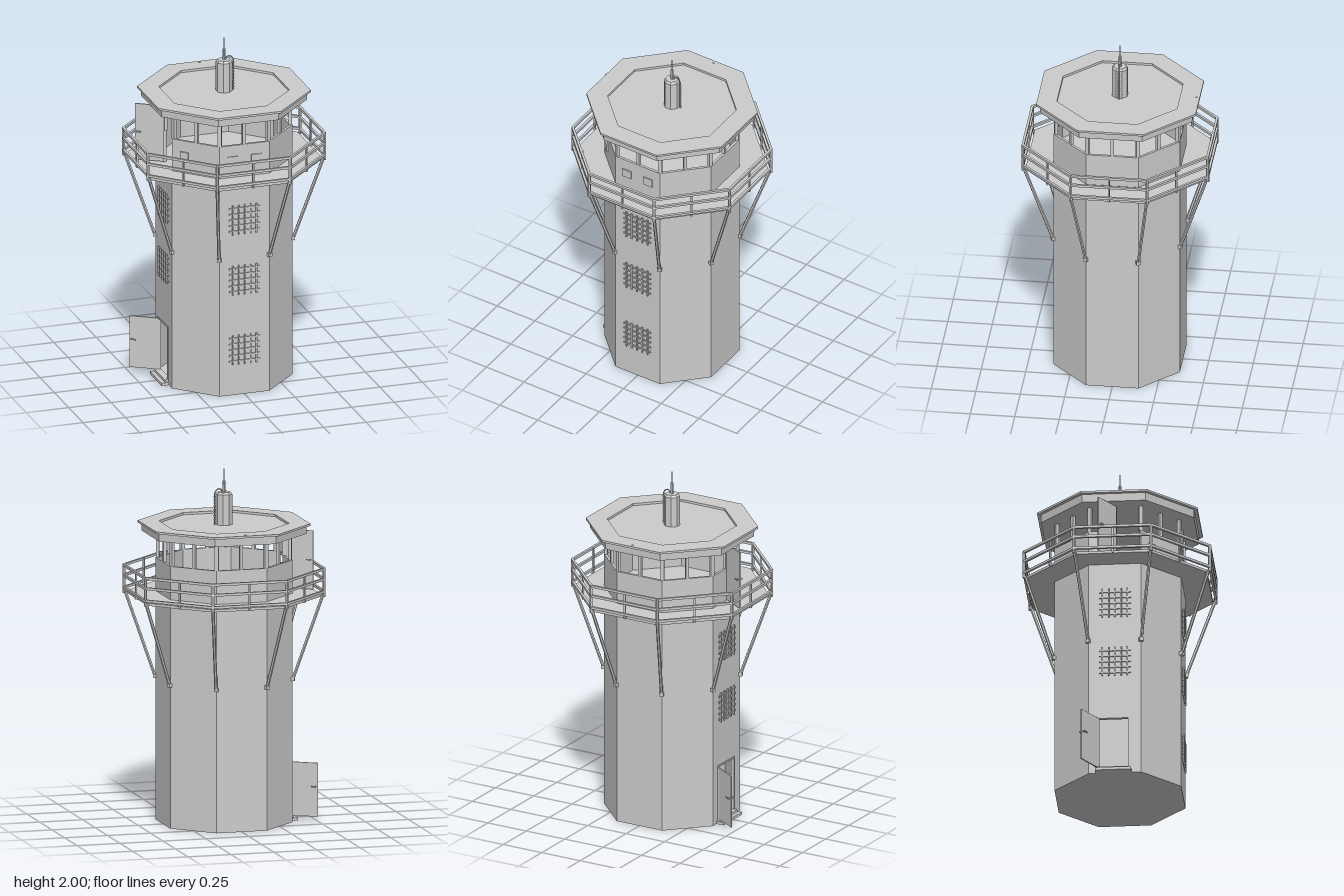
import * as THREE from 'three';

const mat = new THREE.MeshStandardMaterial({ color: 0xcccccc, flatShading: true, side: THREE.DoubleSide });
const T = Math.tan(Math.PI / 8), K = 1 / Math.cos(Math.PI / 8);
const WALL = 0.355, HALF = WALL * T, DECK_Y = 1.3;

function add(parent, name, geo, x = 0, y = 0, z = 0) {
  const m = new THREE.Mesh(geo, mat);
  m.name = name;
  m.position.set(x, y, z);
  parent.add(m);
  return m;
}
const box = (p, name, w, h, d, x, y, z) => add(p, name, new THREE.BoxGeometry(w, h, d), x, y, z);

// Octagonal turning with flats facing the axes; the profile holds [apothem, y]
function octagon(parent, name, profile) {
  const pts = profile.map(([a, y]) => new THREE.Vector2(a * K, y));
  return add(parent, name, new THREE.LatheGeometry(pts, 8).rotateY(Math.PI / 8));
}

function rod(parent, name, a, b, r, sides = 6) {
  const dir = b.clone().sub(a);
  const m = add(parent, name, new THREE.CylinderGeometry(r, r, dir.length(), sides));
  m.position.copy(a).addScaledVector(dir, 0.5);
  m.quaternion.setFromUnitVectors(new THREE.Vector3(0, 1, 0), dir.normalize());
}

// Flat wall in the face's own frame, optionally with a doorway [x0, x1, y0, y1]
function wall(parent, name, y0, y1, hole) {
  const rect = (P, a, b, c, d) => {
    const p = new P();
    p.moveTo(a, c); p.lineTo(b, c); p.lineTo(b, d); p.lineTo(a, d); p.closePath();
    return p;
  };
  const s = rect(THREE.Shape, -HALF, HALF, y0, y1);
  if (hole) s.holes.push(rect(THREE.Path, ...hole));
  add(parent, name, new THREE.ExtrudeGeometry(s, { depth: 0.015, bevelEnabled: false }), 0, 0, WALL - 0.015);
}

// Barred window cover
function grate(parent, y) {
  const g = new THREE.Group();
  g.name = 'windowGrate';
  g.position.set(0, y, WALL + 0.005);
  for (let i = -2; i <= 2; i++) {
    box(g, 'verticalBar', 0.008, 0.175, 0.008, i * 0.035, 0, 0.002);
    box(g, 'horizontalBar', 0.18, 0.008, 0.008, 0, i * 0.034, -0.002);
  }
  parent.add(g);
}

// Open door leaf hung at local x, with a handle on both sides
function door(parent, x, y0, y1) {
  const g = new THREE.Group();
  g.name = 'door';
  g.position.set(x, 0, WALL);
  g.rotation.y = -2.14;
  box(g, 'doorLeaf', 0.166, y1 - y0, 0.008, 0.083, (y0 + y1) / 2, 0);
  for (const s of [-1, 1]) {
    box(g, 'handleStem', 0.006, 0.006, 0.014, 0.152, y0 + 0.17, s * 0.009);
    box(g, 'handleGrip', 0.026, 0.007, 0.005, 0.143, y0 + 0.17, s * 0.017);
  }
  parent.add(g);
}

export function createModel() {
  const model = new THREE.Group();
  model.name = 'watchtower';

  // Slabs: base, deck, roof with sunken centre
  octagon(model, 'baseSlab', [[0, 0], [0.354, 0], [0.354, 0.01], [0, 0.01]]);
  octagon(model, 'deck', [[0, 1.285], [0.505, 1.285], [0.505, DECK_Y], [0, DECK_Y]]);
  octagon(model, 'roof', [[0, 1.64], [0.428, 1.64], [0.43, 1.686], [0.449, 1.686], [0.449, 1.698],
    [0.338, 1.698], [0.338, 1.685], [0, 1.685]]);

  const RAIL = 0.52, corner = RAIL * T;
  for (let i = 0; i < 8; i++) {
    const face = new THREE.Group();
    face.name = 'side' + (i + 1);
    face.rotation.y = i * Math.PI / 4;
    model.add(face);
    const isFront = i === 0, isDoorSide = i === 6;

    // Shaft and cabin walls
    wall(face, 'shaftWall', 0, 1.285, isDoorSide && [-0.09, 0.075, 0.03, 0.335]);
    if (isDoorSide) {
      box(face, 'cabinWall', HALF, 0.19, 0.015, -HALF / 2, 1.395, WALL - 0.0075);
    } else wall(face, 'cabinWall', DECK_Y, 1.49);

    // Window posts at the corner and the middle
    box(face, 'middlePost', 0.018, 0.15, 0.018, 0, 1.565, WALL - 0.01);
    const cp = box(face, 'cornerPost', 0.022, 0.15, 0.018, HALF - 0.004, 1.565, WALL - 0.012);
    cp.rotation.y = Math.PI / 8;

    // Railing
    for (const y of [1.315, 1.385, 1.443])
      box(face, 'rail', 2 * corner + 0.006, 0.014, 0.014, 0, y, RAIL);
    box(face, 'middleRailPost', 0.01, 0.16, 0.01, 0, 1.365, RAIL - 0.008);
    box(face, 'railBracket', 0.01, 0.01, 0.025, 0, 1.295, RAIL - 0.012);
    rod(face, 'cornerRailPost', new THREE.Vector3(corner, 1.285, RAIL), new THREE.Vector3(corner, 1.447, RAIL), 0.009);

    // Diagonal brace from deck corner to shaft corner
    const foot = new THREE.Vector3(HALF, 0.815, WALL + 0.004);
    rod(face, 'brace', foot, new THREE.Vector3(corner - 0.003, 1.295, RAIL - 0.006), 0.0095);
    const plate = box(face, 'braceFoot', 0.024, 0.022, 0.02, foot.x, foot.y, foot.z);
    plate.rotation.y = Math.PI / 8;

    if (isFront) {
      [0.27, 0.685, 1.045].forEach(y => grate(face, y));
      for (const x of [-0.07, 0.07]) box(face, 'wallPanel', 0.06, 0.05, 0.006, x, 1.4, WALL + 0.003);
    }
    if (i === 7) box(face, 'wallBox', 0.05, 0.05, 0.01, -0.07, 1.4, WALL + 0.005);
    if (isDoorSide) {
      [0.685, 1.045].forEach(y => grate(face, y));
      door(face, -0.09, 0.03, 0.335);
      door(face, 0.005, 1.305, 1.638);
      // Lower door frame and steps
      for (const x of [-0.094, 0.079]) box(face, 'doorJamb', 0.008, 0.313, 0.02, x, 0.1865, WALL - 0.005);
      box(face, 'doorHead', 0.181, 0.008, 0.02, -0.0075, 0.339, WALL - 0.005);
      box(face, 'lowerStep', 0.2, 0.016, 0.045, -0.0075, 0.008, WALL + 0.0225);
      box(face, 'upperStep', 0.18, 0.014, 0.022, -0.0075, 0.023, WALL + 0.011);
    }
  }

  // Chimney with bevelled top and mast
  octagon(model, 'chimney', [[0.043, 1.684], [0.043, 1.858], [0.034, 1.87], [0, 1.87]]);
  add(model, 'mastBase', new THREE.CylinderGeometry(0.008, 0.01, 0.065, 8), 0, 1.9, 0);
  add(model, 'mastTip', new THREE.CylinderGeometry(0.002, 0.003, 0.07, 6), 0, 1.965, 0);

  // Ribbed pipe arching from the chimney top down its side
  const path = new THREE.CatmullRomCurve3([[0.012, 1.868], [0.015, 1.884], [0.035, 1.887], [0.052, 1.87],
    [0.055, 1.82], [0.055, 1.685]].map(([x, y]) => new THREE.Vector3(x, y, 0)));
  add(model, 'pipe', new THREE.TubeGeometry(path, 30, 0.0035, 6));
  for (let i = 0; i < 9; i++)
    add(model, 'pipeRing', new THREE.CylinderGeometry(0.006, 0.006, 0.005, 8), 0.055, 1.7 + i * 0.018, 0);

  // Small roof vent
  add(model, 'roofVent', new THREE.CylinderGeometry(0.006, 0.006, 0.008, 8), 0, 1.698, -0.43);
  return model;
}
